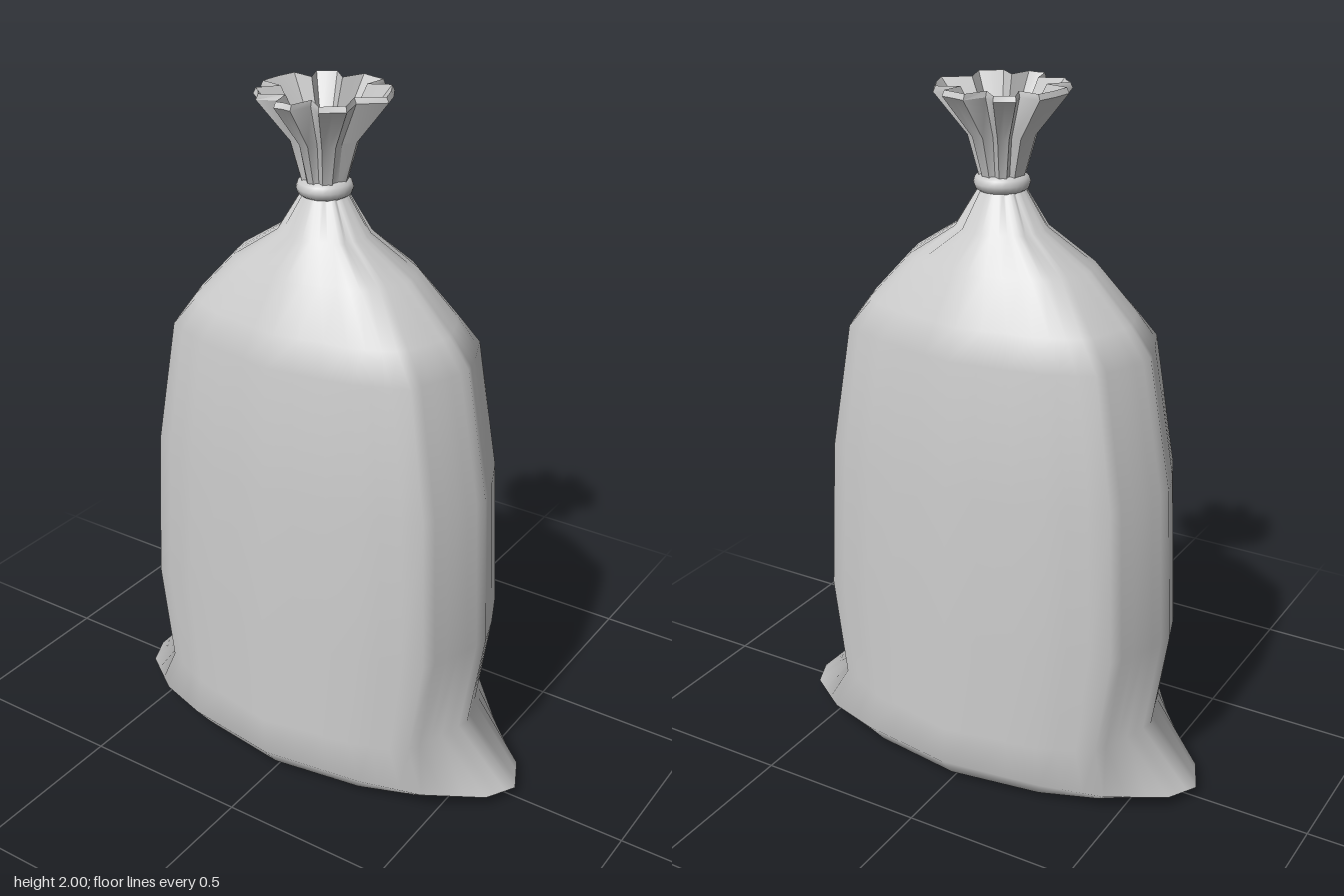
import * as THREE from 'three';
import { toCreasedNormals } from 'three/addons/utils/BufferGeometryUtils.js';

const CX = -0.008; // the tied neck sits slightly off centre

// Skin a stack of closed rings; optional centre points close either end.
function loft(rings, startCap, endCap) {
  const n = rings[0].length, pos = [], idx = [];
  rings.forEach(r => r.forEach(p => pos.push(...p)));
  for (let k = 0; k < rings.length - 1; k++) {
    for (let i = 0; i < n; i++) {
      const a = k * n + i, b = k * n + (i + 1) % n;
      idx.push(a, a + n, b, b, a + n, b + n);
    }
  }
  const cap = (point, start, flip) => {
    const c = pos.length / 3;
    pos.push(...point);
    for (let i = 0; i < n; i++) {
      const a = start + i, b = start + (i + 1) % n;
      flip ? idx.push(c, a, b) : idx.push(c, b, a);
    }
  };
  if (startCap) cap(startCap, 0, true);
  if (endCap) cap(endCap, (rings.length - 1) * n, false);
  const g = new THREE.BufferGeometry();
  g.setAttribute('position', new THREE.Float32BufferAttribute(pos, 3));
  g.setIndex(idx);
  g.computeVertexNormals();
  return g;
}

// Mirror a quarter outline (side to front, [x, y, z]) into a 16-sided ring, each edge cut in three.
function fullRing(q) {
  const m = (p, sx, sz) => [p[0] * sx, p[1], p[2] * sz];
  const back = q.slice().reverse();
  const poly = [
    ...q.slice(0, 4), ...back.slice(0, 4).map(p => m(p, -1, 1)),
    ...q.slice(0, 4).map(p => m(p, -1, -1)), ...back.slice(0, 4).map(p => m(p, 1, -1)),
  ];
  return poly.flatMap((p, i) => {
    const next = poly[(i + 1) % poly.length];
    return [0, 1 / 3, 2 / 3].map(t => p.map((v, c) => v + (next[c] - v) * t));
  });
}

const QUARTER = [[1, 0], [0.94, 0.3], [0.85, 0.64], [0.54, 0.85], [0, 1]];
const CREASES = [-48, -27, 27, 52, 128, 153, 207, 232]; // degrees around the neck

// One level of the sack; round blends to an ellipse, fold sets the depth of the creases.
function sackRing([y, hx, hz, round = 0, fold = 0]) {
  const q = QUARTER.map(([u, v]) => {
    const s = 1 + (1 / Math.hypot(u, v) - 1) * round;
    return [u * s * hx, y, v * s * hz];
  });
  const ring = fullRing(q);
  const angles = ring.map(p => Math.atan2(p[2], p[0]));
  for (const deg of CREASES) {
    const t = deg * Math.PI / 180;
    let best = 0, gap = 9;
    angles.forEach((a, i) => {
      const d = Math.abs(Math.atan2(Math.sin(a - t), Math.cos(a - t)));
      if (d < gap) { gap = d; best = i; }
    });
    ring[best][0] *= 1 - fold;
    ring[best][2] *= 1 - fold;
  }
  return ring.map(p => [p[0] + CX, p[1], p[2]]);
}

function sackGeometry() {
  const base = sackRing([0.004, 0.38, 0.16]);
  const under = fullRing([[0.62, 0.025, 0], [0.58, 0.024, 0.08], [0.43, 0.022, 0.18], [0.27, 0.022, 0.24], [0, 0.022, 0.28]]);
  // Hem drawn out into a pointed ear on each side
  const hem = fullRing([[0.66, 0.032, 0], [0.615, 0.04, 0.095], [0.465, 0.06, 0.21], [0.295, 0.08, 0.28], [0, 0.09, 0.332]]);
  const levels = [
    [0.2, 0.5, 0.325],
    [0.5, 0.545, 0.324],
    [0.95, 0.522, 0.31],
    [1.32, 0.453, 0.285],
    [1.4, 0.392, 0.245, 0, 0.02],
    [1.53, 0.268, 0.185, 0.2, 0.05],
    [1.62, 0.13, 0.108, 0.5, 0.09],
    [1.735, 0.058, 0.058, 1, 0.1],
  ].map(sackRing);
  return loft([base, under, hem, ...levels], [0, 0, 0], [CX, 1.735, 0]);
}

// Gathered mouth: flat petals separated by narrow notches
const PETALS = [[-76, 12], [-25, 20], [50, 11], [92, 8], [138, 10], [190, 19], [238, 9]]; // centre, half width

function mouthGeometry() {
  const ring = (y, tip, notch) => PETALS.flatMap(([c, w], i) => {
    const [nc, nw] = i < PETALS.length - 1 ? PETALS[i + 1] : [PETALS[0][0] + 360, PETALS[0][1]];
    const mid = (c + w + nc - nw) / 2;
    return [[c - w, tip], [c, tip * 0.97], [c + w, tip], [mid, notch]].map(([deg, r]) => {
      const t = deg * Math.PI / 180;
      return [CX + r * Math.cos(t), y, r * Math.sin(t)];
    });
  });
  return toCreasedNormals(loft([
    ring(1.74, 0.058, 0.052),
    ring(1.87, 0.094, 0.07),
    ring(1.985, 0.184, 0.125),
    ring(2.0, 0.177, 0.117),
    ring(1.88, 0.085, 0.058),
    ring(1.8, 0.04, 0.028),
  ], null, [CX, 1.77, 0]), 0.6);
}

export function createModel() {
  const group = new THREE.Group();
  const material = new THREE.MeshStandardMaterial({ color: 0xcccccc, side: THREE.DoubleSide });
  const add = (name, geometry) => {
    const mesh = new THREE.Mesh(geometry, material);
    mesh.name = name;
    group.add(mesh);
    return mesh;
  };
  add('sackBody', sackGeometry());
  add('gatheredMouth', mouthGeometry());

  // Cord tied round the neck
  const tie = add('neckTie', new THREE.TorusGeometry(0.052, 0.025, 10, 24));
  tie.rotation.x = Math.PI / 2;
  tie.position.set(CX, 1.74, 0);
  return group;
}
